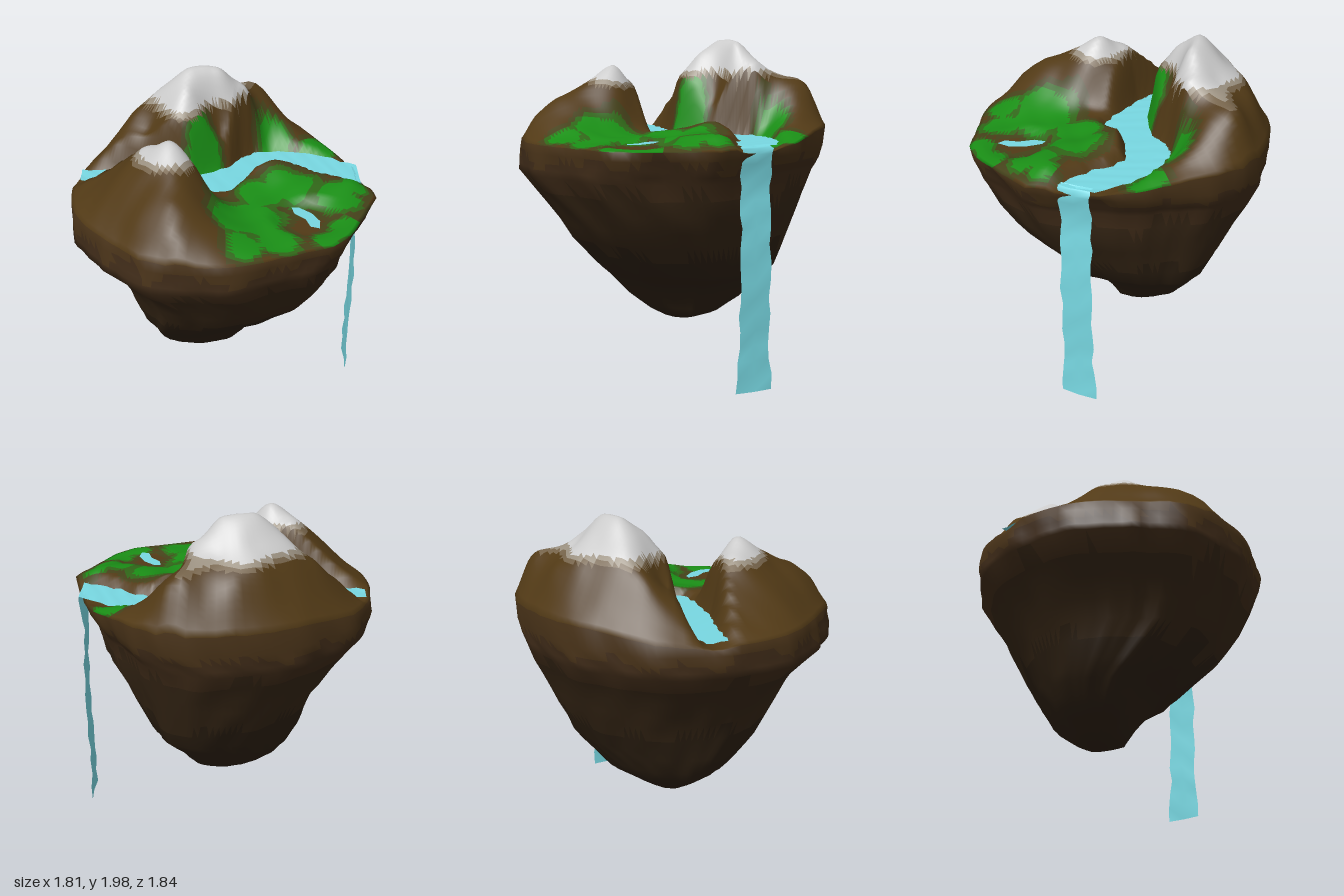
import * as THREE from 'three';

const { lerp, smoothstep, clamp } = THREE.MathUtils;
const SEGS = 108, RINGS = 44, TAU = Math.PI * 2;

// Outline radius every 10 degrees, turning from +x towards +z
const OUTLINE = [.865, .918, .89, .89, .915, .92, .88, .87, .89, .91, .925, .94, .945, .905, .895, .905, .91, .905,
  .9, .885, .88, .88, .86, .855, .87, .88, .89, .905, .93, .935, .905, .855, .83, .83, .83, .83];

// Heights of the mountains: x, z, y
const MOUNTAINS = [
  [-.2, -.4, 1.99], [-.1, -.41, 1.98], [0, -.41, 1.94], [.11, -.46, 1.84], [.17, -.46, 1.79], [-.38, -.43, 1.83],
  [-.54, -.4, 1.7], [-.68, -.35, 1.54], [-.2, -.55, 1.86], [0, -.6, 1.81], [.1, -.7, 1.76], [.18, -.8, 1.71],
  [.27, -.8, 1.66], [.38, -.72, 1.56], [-.1, -.78, 1.68], [-.25, -.68, 1.72], [-.45, -.62, 1.6], [.3, -.6, 1.63],
  [.43, -.6, 1.53], [.27, -.46, 1.47], [.6, -.45, 1.43], [-.2, -.26, 1.88], [-.02, -.28, 1.62], [-.45, -.25, 1.64],
  [-.3, .27, 1.82], [-.24, .3, 1.79], [-.35, .17, 1.73], [-.45, .2, 1.74], [-.55, .25, 1.66], [-.45, .45, 1.66],
  [-.28, .48, 1.71], [-.28, .66, 1.64], [-.65, .4, 1.52], [-.7, .14, 1.52], [-.5, .65, 1.5],
  [-.27, .82, 1.52], [-.15, .3, 1.66], [-.12, .5, 1.58], [-.1, .68, 1.54]];
// Heights of the meadow
const MEADOW = [
  [-.07, .27, 1.48], [-.1, .15, 1.46], [0, .5, 1.48], [.05, .2, 1.43], [.2, .1, 1.44], [.3, -.1, 1.5],
  [.4, .22, 1.43], [.2, .5, 1.42], [.5, .5, 1.4], [.3, .7, 1.4], [.1, .75, 1.42], [.7, .25, 1.44],
  [.77, .1, 1.47], [.6, .02, 1.45]];

// Grass patches: x, z, radius
const GRASS = [[.15, .45, .24], [.4, .1, .2], [.22, .2, .17], [.66, .25, .17], [.68, .5, .12], [.3, .66, .16],
  [.02, .56, .14], [.35, -.47, .14], [.6, -.42, .14], [-.1, -.12, .14], [.1, .76, .13], [.55, .64, .1], [.78, .12, .1]];

// River banks: x, far z, near z
const RIVER = [[-.86, -.18, -.07], [-.6, -.17, 0], [-.4, -.12, .07], [-.2, -.08, .09], [-.02, -.17, .1],
  [.05, -.22, .08], [.12, -.34, -.01], [.2, -.41, -.12], [.4, -.41, -.22], [.5, -.39, -.19], [.6, -.36, -.11],
  [.7, -.3, -.06], [.83, -.21, -.01]];

// Underside sections: y, x range, z range
const SECTIONS = [[1.385, -.9, .9, -.92, .92], [1.28, -.91, .85, -.9, .92], [1.2, -.9, .8, -.88, .92],
  [1, -.73, .74, -.775, .77], [.8, -.6, .61, -.69, .64], [.6, -.52, .47, -.59, .44], [.5, -.475, .32, -.51, .32],
  [.38, -.4, .21, -.41, .21], [.29, -.29, .14, -.27, .1], [.245, -.22, .02, -.18, .02], [.24, -.08, -.08, -.07, -.07]];

// Interpolates the rows of a table
function sample(table, f) {
  const i = clamp(Math.floor(f), 0, table.length - 2);
  return table[i].map((v, k) => lerp(v, table[i + 1][k], f - i));
}

function banksAt(x) {
  let i = 0;
  while (i < RIVER.length - 2 && RIVER[i + 1][0] < x) i++;
  const span = RIVER[i + 1][0] - RIVER[i][0];
  return sample(RIVER, i + clamp((x - RIVER[i][0]) / span, 0, 1));
}

function outlineAt(turn) {
  const n = OUTLINE.length, f = turn * n, i = Math.floor(f);
  const r = lerp(OUTLINE[i], OUTLINE[(i + 1) % n], f - i);
  return [r * Math.cos(turn * TAU), r * Math.sin(turn * TAU)];
}

const bumps = (x, y, z) => Math.sin(13 * x + 5 * y + 1) * Math.sin(11 * z - 7 * y)
  + .6 * Math.sin(23 * x - 17 * y + 9 * z) * Math.sin(19 * z + 21 * y + 2);

// Smooth surface through all control heights, by solving for radial weights
function fitSurface(points) {
  const kernel = (ax, az, [bx, bz]) => Math.sqrt((ax - bx) ** 2 + (az - bz) ** 2 + .001);
  const m = points.map(([x, z, y]) => [...points.map(q => kernel(x, z, q)), y - 1.4]);
  const n = m.length;
  for (let c = 0; c < n; c++) {
    let best = c;
    for (let r = c + 1; r < n; r++) if (Math.abs(m[r][c]) > Math.abs(m[best][c])) best = r;
    [m[c], m[best]] = [m[best], m[c]];
    for (let r = 0; r < n; r++) {
      if (r === c) continue;
      const f = m[r][c] / m[c][c];
      for (let k = c; k <= n; k++) m[r][k] -= f * m[c][k];
    }
  }
  const weights = m.map((row, i) => row[n] / row[i]);
  return (x, z) => points.reduce((s, q, i) => s + weights[i] * kernel(x, z, q), 1.4);
}

const rimPoints = OUTLINE.map((_, i) => {
  const [x, z] = outlineAt(i / OUTLINE.length);
  return [x, z, 1.385 + .07 * smoothstep(-z, .3, .8)];
});
const surface = fitSurface([...MOUNTAINS, ...MEADOW, ...rimPoints]);

// Ground height with the river bed and pond hollow cut in
function groundAt(x, z, t) {
  const rough = .008 * bumps(x, 0, z) * smoothstep(1 - t, 0, .1);
  const [, far, near] = banksAt(x);
  const y = lerp(1.365, surface(x, z) + rough, smoothstep(Math.max(far - z, z - near), -.02, .07));
  return lerp(1.385, y, smoothstep(Math.hypot(x - .47, z - .43), .14, .22));
}

// Picks the ground cover for one face
function coverAt(x, y, z, row) {
  if (row >= RINGS) {
    const level = y + .05 * bumps(x, y, z);
    return level > 1.3 ? 'bank' : level > 1.12 ? 'cliff' : level > .75 ? 'rock' : 'underside';
  }
  const noise = bumps(x, .3, z);
  const snowLine = (z < 0 ? 1.79 : 1.73 + .2 * Math.max(0, z - .33)) + .012 * noise;
  if (y > snowLine) return 'snow';
  if (y > snowLine - .025) return 'scree';
  if (y > snowLine - .045) return 'gravel';
  const patch = Math.max(...GRASS.map(([gx, gz, r]) => 1 - Math.hypot(x - gx, z - gz) / r)) + .12 * noise;
  if (patch > .3) return 'grass';
  if (patch > .12) return 'moss';
  if (patch > -.1) return 'earth';
  return 'soil';
}

const COLORS = { snow: 0xcccccc, scree: 0x9a9080, gravel: 0x75634a, soil: 0x523a16, earth: 0x45421a,
  moss: 0x306618, grass: 0x1a8f16, bank: 0x483218, cliff: 0x3f2b18, rock: 0x362615, underside: 0x2d2012 };

function buildIsland() {
  const group = new THREE.Group();
  group.name = 'island';
  const pos = [], rows = RINGS + (SECTIONS.length - 1) * 2;
  for (let i = 0; i <= rows; i++) {
    for (let j = 0; j < SEGS; j++) {
      const [rx, rz] = outlineAt(j / SEGS);
      if (i <= RINGS) {
        const t = i / RINGS;
        pos.push(rx * t, groundAt(rx * t, rz * t, t), rz * t);
      } else {
        const [y, x0, x1, z0, z1] = sample(SECTIONS, (i - RINGS) / 2);
        const n = i > rows - 2 ? 1 : 1 + .014 * bumps(rx, y, rz);
        const z = lerp(z0, z1, (rz + .92) / 1.84) * n;
        // The lower rock leans sideways from front to back
        const lean = .3 * smoothstep(.9 - y, 0, .5) * ((z0 + z1) / 2 - z);
        pos.push(lerp(x0, x1, (rx + .9) / 1.8) * n + lean, y, z);
      }
    }
  }
  // Faces sorted by cover, sharing one set of smooth normals
  const faces = {}, all = [];
  const add = (row, ...tri) => {
    const mid = k => tri.reduce((s, v) => s + pos[v * 3 + k], 0) / 3;
    (faces[coverAt(mid(0), mid(1), mid(2), row)] ??= []).push(...tri);
    all.push(...tri);
  };
  for (let i = 0; i < rows; i++) {
    for (let j = 0; j < SEGS; j++) {
      const k = (j + 1) % SEGS;
      const a = i * SEGS + j, b = a + SEGS, d = i * SEGS + k, c = d + SEGS;
      if (i > 0) add(i, a, d, b);
      add(i, b, d, c);
    }
  }
  const base = new THREE.BufferGeometry();
  base.setAttribute('position', new THREE.Float32BufferAttribute(pos, 3));
  base.setIndex(all);
  base.computeVertexNormals();
  for (const [name, index] of Object.entries(faces)) {
    const mesh = new THREE.Mesh(base.clone().setIndex(index), new THREE.MeshStandardMaterial({ color: COLORS[name] }));
    mesh.name = name;
    group.add(mesh);
  }
  return group;
}

function waterMesh(name, geo) {
  const mesh = new THREE.Mesh(geo, new THREE.MeshStandardMaterial({ color: 0x78d8e2, side: THREE.DoubleSide }));
  mesh.name = name;
  return mesh;
}

// Strip of water, point(u, v) with u along and v across
function ribbon(name, along, across, point) {
  const geo = new THREE.PlaneGeometry(1, 1, across, along), p = geo.attributes.position;
  for (let i = 0; i < p.count; i++) p.setXYZ(i, ...point(.5 - p.getY(i), p.getX(i) + .5));
  geo.computeVertexNormals();
  return waterMesh(name, geo);
}

export function createModel() {
  const model = new THREE.Group();
  model.name = 'floatingIsland';
  model.add(buildIsland());

  // River winding through the valley
  model.add(ribbon('river', 36, 3, (u, v) => {
    const x = lerp(-.86, .83, u), [, far, near] = banksAt(x), wave = .008 * Math.sin(u * 75);
    return [x, 1.405 + .004 * Math.sin(u * 90 + v * 7), lerp(near + .012 + wave, far - .012 + wave, v)];
  }));

  // Waterfall dropping past the rim
  const fall = new THREE.CatmullRomCurve3([[.8, 1.41], [.835, 1.385], [.812, 1.2], [.825, .95],
    [.828, .6], [.818, .3], [.82, 0]].map(([x, y]) => new THREE.Vector3(x, y, 0)));
  model.add(ribbon('waterfall', 20, 2, (u, v) => {
    const q = fall.getPoint(u), flare = .025 * smoothstep(u, .88, 1);
    const edge = (v - .5) * (.19 + 2 * flare) + .007 * Math.sin(u * 40 + v * 2);
    return [q.x + .005 * Math.sin(u * 55 + v * 5), q.y, -.1 - edge];
  }));

  // Pond in the meadow
  const shore = [[.39, .31], [.43, .31], [.5, .38], [.54, .47], [.53, .55], [.48, .53], [.46, .45], [.4, .38]];
  const pond = new THREE.ShapeGeometry(new THREE.Shape(shore.map(([x, z]) => new THREE.Vector2(x, -z))));
  model.add(waterMesh('pond', pond.rotateX(-Math.PI / 2).translate(0, 1.41, 0)));
  return model;
}
